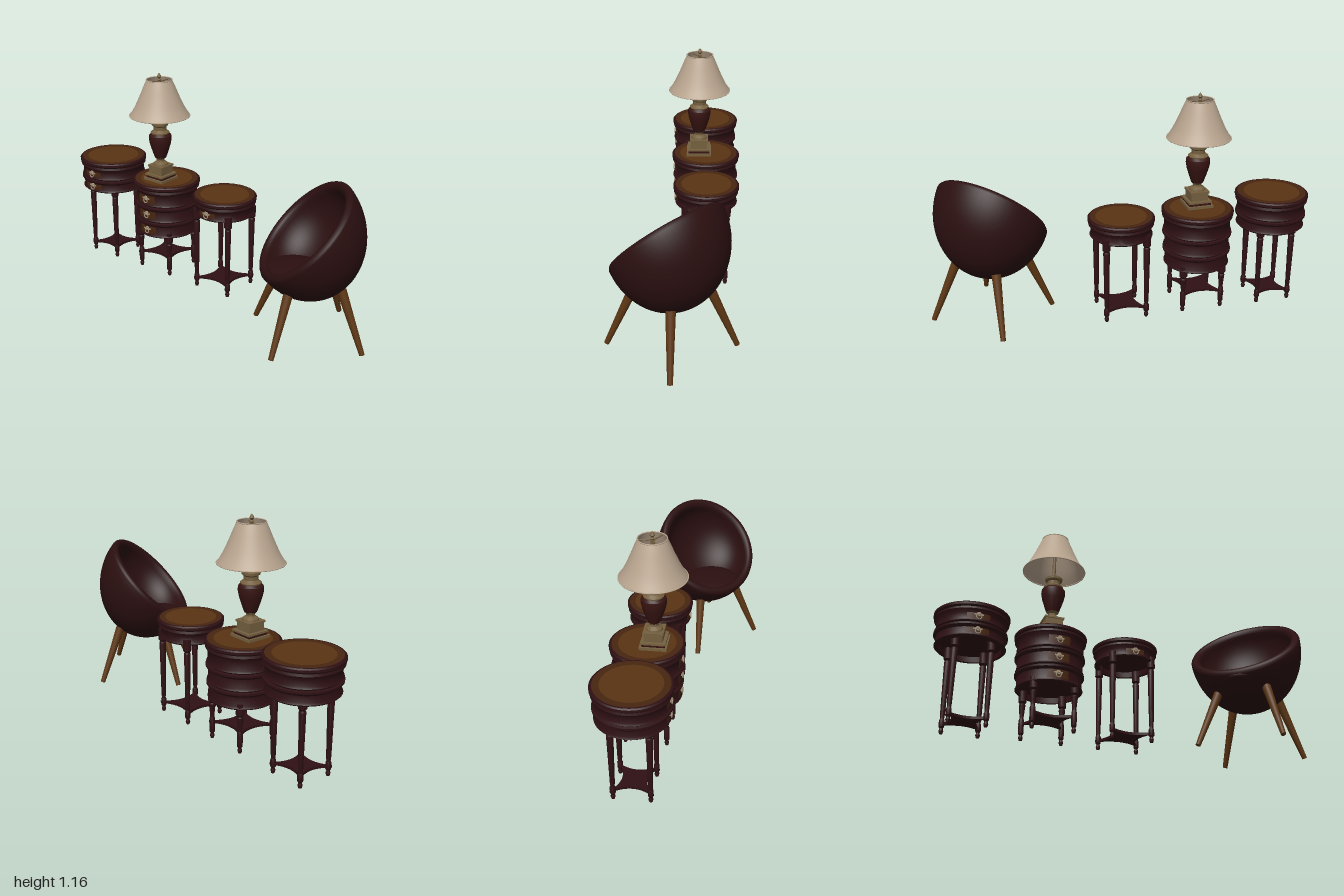
import * as THREE from 'three';
import { toCreasedNormals } from 'three/addons/utils/BufferGeometryUtils.js';

const mat = (name, color, side = THREE.FrontSide) => {
  const m = new THREE.MeshStandardMaterial({ color, side });
  m.name = name;
  return m;
};

export function createModel() {
  const wood = mat('dark mahogany', 0x2e1013);
  const leather = mat('dark leather', 0x2b0f10);
  const veneer = mat('golden veneer', 0x5a3413);
  const border = mat('brown veneer border', 0x472610);
  const oak = mat('chair leg oak', 0x5c3614);
  const brass = mat('aged brass', 0x75603f);
  const silver = mat('pale metal', 0xa09078);
  const urnRed = mat('urn glaze', 0x361412);
  const linen = mat('shade linen', 0xb9a58f, THREE.DoubleSide);

  const root = new THREE.Group();
  root.name = 'furnitureSet';

  const add = (parent, name, geo, material, x = 0, y = 0, z = 0) => {
    const mesh = new THREE.Mesh(geo, material);
    mesh.name = name;
    mesh.position.set(x, y, z);
    parent.add(mesh);
    return mesh;
  };
  const group = (name, x, y, z) => {
    const g = new THREE.Group();
    g.name = name;
    g.position.set(x, y, z);
    root.add(g);
    return g;
  };
  // Turned part from [radius, height] pairs, listed upwards on the outside
  const turned = (pts, seg = 48) =>
    toCreasedNormals(new THREE.LatheGeometry(pts.map(([r, y]) => new THREE.Vector2(r, y)), seg), 0.6);

  // Thin shelf with four points at the legs and hollow sides
  const shelfGeometry = (d) => {
    const s = new THREE.Shape();
    const e = d + 0.012, k = 0.02;
    s.moveTo(e, e);
    for (const [cx, cy, x, y] of [[0, k, -e, e], [-k, 0, -e, -e], [0, -k, e, -e], [k, 0, e, e]]) {
      s.quadraticCurveTo(cx, cy, x, y);
    }
    const g = new THREE.ExtrudeGeometry(s, { depth: 0.013, bevelEnabled: false, curveSegments: 14 });
    return g.rotateX(-Math.PI / 2);
  };

  // Round side table with stacked drawers, four turned legs and a low shelf
  function sideTable(name, o) {
    const g = group(name, o.x, 0, -0.155);
    const { R, top, bottom, drawers, foot, shelf, leg } = o;
    const h = (top - 0.03 - bottom) / drawers;
    const body = R - 0.016;

    const profile = [[0, bottom + 0.03], [body - 0.02, bottom + 0.03], [body - 0.02, bottom]];
    for (let i = 0; i < drawers; i++) {
      const y = bottom + i * h;
      const r = body - (drawers - 1 - i) * 0.003;
      profile.push([r - 0.002, y], [r + 0.006, y + 0.008], [r, y + 0.018], [r, y + h - 0.026]);
      if (i < drawers - 1) profile.push([r + 0.012, y + h - 0.014], [r + 0.012, y + h - 0.004]);
    }
    profile.push([R - 0.004, top - 0.038], [R - 0.008, top - 0.026], [R, top - 0.018], [R, top - 0.006], [R - 0.006, top], [0, top]);
    add(g, 'drawerDrum', turned(profile), wood);

    // Inlaid top
    const ring = new THREE.RingGeometry(R * 0.76, R * 0.93, 48).rotateX(-Math.PI / 2);
    add(g, 'topBorder', ring, border, 0, top + 0.001, 0);
    add(g, 'topInlay', new THREE.CircleGeometry(R * 0.76, 48).rotateX(-Math.PI / 2), veneer, 0, top + 0.001, 0);

    // Drawer fronts and pulls
    for (let i = 0; i < drawers; i++) {
      const r = body - (drawers - 1 - i) * 0.003 + 0.0015;
      const y = bottom + i * h + (h - 0.008) / 2;
      add(g, 'drawerFront', new THREE.CylinderGeometry(r, r, h - 0.046, 12, 1, true, -0.33, 0.66), border, 0, y, 0);
      const rose = new THREE.CylinderGeometry(0.011, 0.013, 0.006, 16).rotateX(Math.PI / 2);
      add(g, 'pullRosette', rose, silver, 0, y + 0.008, r + 0.002);
      add(g, 'pullRing', new THREE.TorusGeometry(0.013, 0.003, 8, 20), silver, 0, y - 0.006, r + 0.005);
      for (const s of [-1, 1]) {
        add(g, 'pullWing', new THREE.BoxGeometry(0.014, 0.008, 0.005), silver, s * 0.016, y + 0.006, r);
      }
    }

    // Turned legs
    const span = bottom + 0.03;
    const legGeo = turned([
      [0, foot], [0.008, foot], [0.012, foot + 0.014], [0.008, foot + 0.026], [0.014, foot + 0.036],
      [0.014, shelf + 0.02], [0.01, shelf + 0.028], [0.012, shelf + 0.05], [0.017, bottom - 0.045],
      [0.013, bottom - 0.038], [0.021, bottom - 0.028], [0.021, span], [0, span],
    ], 16);
    for (const sx of [-1, 1]) for (const sz of [-1, 1]) add(g, 'leg', legGeo, wood, sx * leg, 0, sz * leg);
    add(g, 'lowerShelf', shelfGeometry(leg), wood, 0, shelf - 0.006, 0);
  }
  sideTable('twoDrawerTable', { x: -0.807, R: 0.192, top: 0.602, bottom: 0.42, drawers: 2, foot: 0, shelf: 0.047, leg: 0.09 });
  sideTable('threeDrawerTable', { x: -0.392, R: 0.188, top: 0.555, bottom: 0.25, drawers: 3, foot: 0.018, shelf: 0.105, leg: 0.106 });
  sideTable('oneDrawerTable', { x: 0.021, R: 0.172, top: 0.555, bottom: 0.452, drawers: 1, foot: 0.018, shelf: 0.066, leg: 0.106 });

  // Table lamp
  const lamp = group('tableLamp', -0.4, 0.556, -0.117);
  const steps = [[0.068, 0, 0.014], [0.058, 0.014, 0.012], [0.062, 0.026, 0.01], [0.046, 0.036, 0.04], [0.051, 0.076, 0.01]];
  steps.forEach(([half, y, t], i) =>
    add(lamp, 'baseStep', new THREE.BoxGeometry(half * 2, t, half * 2), i === 1 ? urnRed : brass, 0, y + t / 2, 0));
  add(lamp, 'pedestal', turned([[0.042, 0.086], [0.04, 0.095], [0.022, 0.108], [0.022, 0.118], [0.032, 0.128], [0, 0.128]], 32), brass);
  add(lamp, 'urn', turned([[0.03, 0.126], [0.036, 0.14], [0.046, 0.17], [0.057, 0.205], [0.063, 0.235], [0.061, 0.256], [0.05, 0.268], [0, 0.27]], 32), urnRed);
  add(lamp, 'neck', turned([
    [0.05, 0.266], [0.052, 0.274], [0.044, 0.28], [0.035, 0.288], [0.035, 0.306], [0.045, 0.314],
    [0.046, 0.326], [0.034, 0.332], [0.02, 0.335], [0.02, 0.344], [0.009, 0.348], [0.009, 0.56], [0, 0.56],
  ], 32), brass);
  add(lamp, 'finial', turned([[0.006, 0.556], [0.01, 0.566], [0.005, 0.572], [0.012, 0.583], [0.007, 0.594], [0, 0.603]], 16), brass);
  const bell = new THREE.SplineCurve([[0.164, 0.368], [0.136, 0.415], [0.108, 0.475], [0.085, 0.53], [0.069, 0.566]]
    .map(([r, y]) => new THREE.Vector2(r, y)));
  add(lamp, 'shade', new THREE.LatheGeometry(bell.getPoints(16), 48), linen);
  for (const [r, y] of [[0.164, 0.369], [0.069, 0.566]]) {
    add(lamp, 'shadeTrim', new THREE.TorusGeometry(r, 0.003, 8, 48).rotateX(Math.PI / 2), linen, 0, y, 0);
  }
  // Three-armed shade holder
  for (let i = 0; i < 3; i++) {
    const arm = new THREE.CylinderGeometry(0.003, 0.003, 0.069, 8).rotateZ(Math.PI / 2).translate(0.0345, 0, 0);
    add(lamp, 'shadeArm', arm, brass, 0, 0.555, 0).rotation.y = Math.PI / 2 + i * Math.PI * 2 / 3;
  }

  // Egg chair: a turned bowl, tipped back and skewed, facing -x +z
  const chair = group('eggChair', 0.672, 0, 0.008);
  const up = new THREE.Vector3(0, 1, 0);
  const facing = new THREE.Vector3(-1, 0, 1).normalize();
  const mix = (a, b) => facing.clone().multiplyScalar(a).addScaledVector(up, b);
  const normal = mix(0.724, 0.69);
  const down = mix(0.69, -0.724);
  const across = normal.clone().cross(down);
  const axis = normal.clone().addScaledVector(down, -0.15);
  const tip = new THREE.Matrix4().makeBasis(across, axis, down).setPosition(mix(0.03, 0.573));
  const bowl = [];
  const arc = (R, D, from, to) => {
    for (let i = 0; i <= 16; i++) {
      const t = (from + (to - from) * i / 16) * Math.PI / 2;
      bowl.push(new THREE.Vector2(Math.max(0, R * Math.cos(t)), -D * Math.sin(t)));
    }
  };
  arc(0.3, 0.327, 1, 0);
  for (const [r, y] of [[0.297, 0.011], [0.289, 0.02], [0.277, 0.023], [0.265, 0.02], [0.256, 0.011]]) bowl.push(new THREE.Vector2(r, y));
  arc(0.25, 0.2, 0, 1);
  add(chair, 'shell', new THREE.LatheGeometry(bowl, 56).applyMatrix4(tip), leather);
  const seat = mix(0.07, 0.36);
  add(chair, 'seatCushion', new THREE.SphereGeometry(0.17, 40, 20).scale(1, 0.3, 1), leather, seat.x, seat.y, seat.z);

  // Splayed tapered legs
  const foot = new THREE.Vector3(0.313, 0.014, 0), head = new THREE.Vector3(0.18, 0.32, 0);
  const dir = head.clone().sub(foot);
  for (let i = 0; i < 4; i++) {
    const geo = new THREE.CylinderGeometry(0.024, 0.013, dir.length(), 20);
    geo.applyQuaternion(new THREE.Quaternion().setFromUnitVectors(up, dir.clone().normalize()));
    geo.translate((foot.x + head.x) / 2, (foot.y + head.y) / 2, 0);
    add(chair, 'chairLeg', geo, oak).rotation.y = i * Math.PI / 2;
  }
  return root;
}
